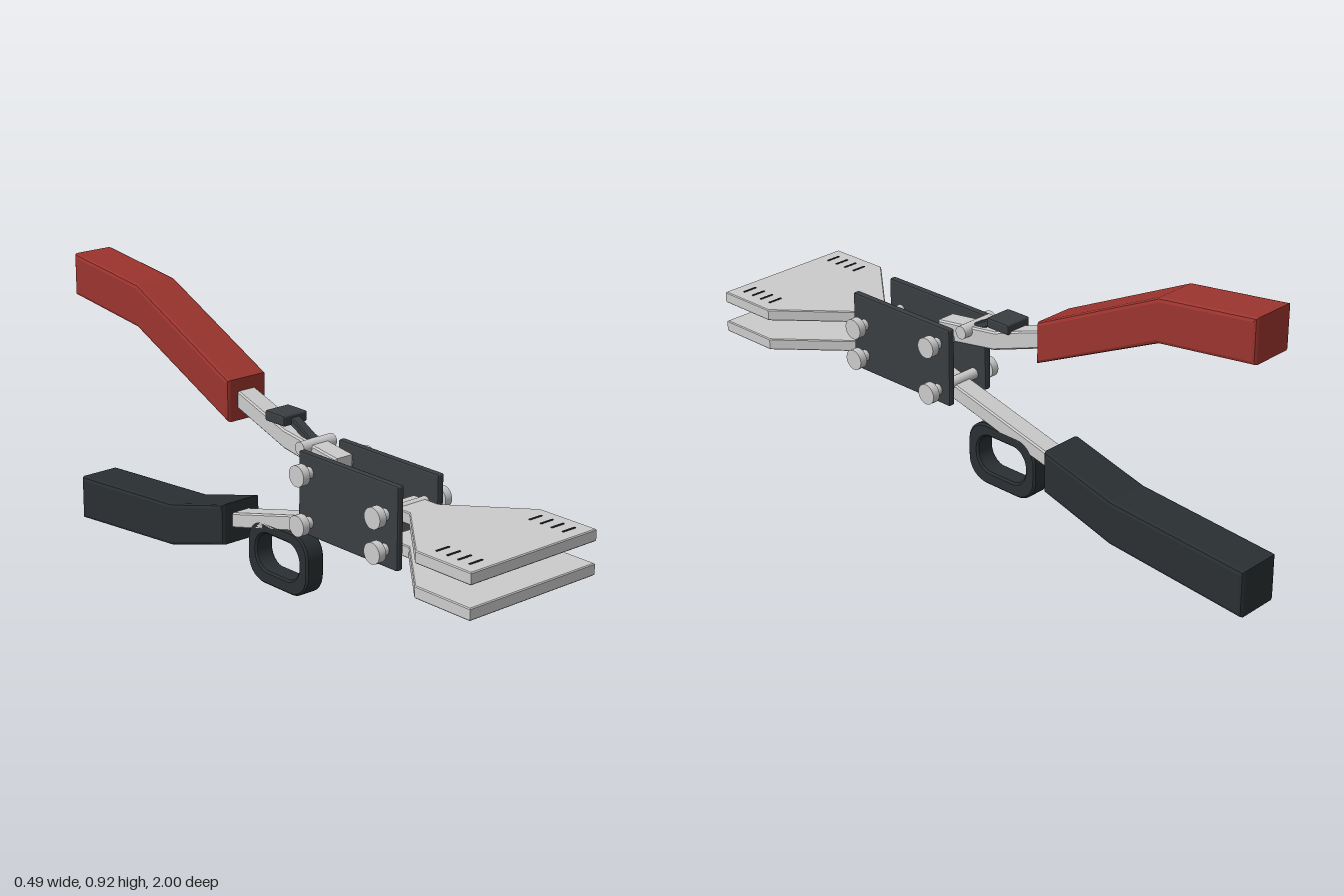
import * as THREE from 'three';

const mat = (color) => new THREE.MeshStandardMaterial({ color });
const steel = mat(0xcccccc), dark = mat(0x3a3e41), black = mat(0x2a2f32), red = mat(0x9c342e);

export function createModel() {
  const model = new THREE.Group();
  const add = (name, geo, material, x = 0, y = 0, z = 0) => {
    const mesh = new THREE.Mesh(geo, material);
    mesh.name = name;
    mesh.position.set(x, y, z);
    model.add(mesh);
    return mesh;
  };
  const shapeOf = (pts) => new THREE.Shape(pts.map(([a, b]) => new THREE.Vector2(a, b)));

  // Extrusion of given full thickness, centred, outline kept despite the bevel
  const slab = (shape, thick, bevel, segs = 1) => {
    const geo = new THREE.ExtrudeGeometry(shape, {
      depth: thick - 2 * bevel, bevelEnabled: true, bevelThickness: bevel, bevelSize: bevel,
      bevelOffset: -bevel, bevelSegments: segs, curveSegments: 6,
    });
    return geo.translate(0, 0, bevel - thick / 2);
  };
  // Side profile given as [z, y], spread across x
  const side = (shape, width, bevel, segs) => slab(shape, width, bevel, segs).rotateY(-Math.PI / 2);
  const roundRect = (cx, cy, w, h, r, Type = THREE.Shape) => {
    const s = new Type(), x = w / 2 - r, y = h / 2 - r;
    s.absarc(cx + x, cy + y, r, 0, Math.PI / 2);
    s.absarc(cx - x, cy + y, r, Math.PI / 2, Math.PI);
    s.absarc(cx - x, cy - y, r, Math.PI, Math.PI * 1.5);
    s.absarc(cx + x, cy - y, r, Math.PI * 1.5, Math.PI * 2);
    s.closePath();
    return s;
  };

  // Jaws: wide paddles on a narrow neck
  const half = [[0.057, 0.47], [0.057, 0.57], [0.247, 0.79], [0.247, 1]];
  const jaw = shapeOf([...half, ...half.map(([x, z]) => [-x, z]).reverse()]);
  const jawGeo = slab(jaw, 0.037, 0.003).rotateX(Math.PI / 2);
  add('upperJaw', jawGeo, steel, 0, 0.438, 0);
  add('lowerJaw', jawGeo, steel, 0, 0.336, 0);

  // Scale marks on the upper jaw
  const markGeo = new THREE.BoxGeometry(0.05, 0.004, 0.006);
  for (const s of [-1, 1])
    for (const z of [0.83, 0.872, 0.913, 0.955]) add('jawMark', markGeo, black, s * 0.183, 0.457, z);

  // Side plates
  const plateGeo = side(roundRect(0.345, 0.41, 0.425, 0.257, 0.006), 0.024, 0.006, 2);
  for (const s of [-1, 1]) add(s > 0 ? 'leftPlate' : 'rightPlate', plateGeo, dark, s * 0.079, 0, 0);

  // Pivot pins with a head on each end
  const shaftGeo = new THREE.CylinderGeometry(0.018, 0.018, 0.24, 20).rotateZ(Math.PI / 2);
  const headGeo = new THREE.CylinderGeometry(0.033, 0.033, 0.026, 24).rotateZ(Math.PI / 2);
  for (const [z, y] of [[0.507, 0.443], [0.507, 0.337], [0.182, 0.482], [0.182, 0.326]]) {
    add('pivotPin', shaftGeo, steel, 0, y, z);
    for (const s of [-1, 1]) add('pinHead', headGeo, steel, s * 0.13, y, z);
  }

  // Lever bars running into the grips
  add('upperLever', side(shapeOf([[0.235, 0.46], [0.235, 0.525], [0.0, 0.557], [-0.4, 0.69],
    [-0.4, 0.635], [0.0, 0.497]]), 0.07, 0.005), steel);
  add('lowerLever', side(shapeOf([[0.235, 0.29], [0.235, 0.343], [-0.35, 0.195], [-0.35, 0.145]]),
    0.07, 0.005), steel);

  // Grips
  add('upperGrip', side(shapeOf([[-0.213, 0.535], [-0.213, 0.668], [-0.665, 0.882], [-1, 0.923],
    [-1, 0.785], [-0.665, 0.743]]), 0.154, 0.012, 2), red);
  add('lowerGrip', side(shapeOf([[-0.246, 0.122], [-0.246, 0.257], [-0.51, 0.187], [-1, 0.15],
    [-1, 0.002], [-0.51, 0.045]]), 0.154, 0.012, 2), black);

  // Finger ring below the lower lever
  const ring = roundRect(-0.032, 0.133, 0.28, 0.206, 0.075);
  ring.holes.push(roundRect(-0.032, 0.136, 0.2, 0.122, 0.055, THREE.Path));
  add('fingerRing', side(ring, 0.07, 0.006), black);

  // Thumb latch: cross pin, slim arm and pad
  add('latchPin', new THREE.CylinderGeometry(0.021, 0.021, 0.13, 20).rotateZ(Math.PI / 2), steel, 0, 0.531, 0.108);
  add('latchArm', side(shapeOf([[0.108, 0.522], [0.108, 0.545], [0.015, 0.595], [-0.03, 0.595],
    [-0.03, 0.574], [0.01, 0.57]]), 0.036, 0.004), dark);
  add('latchPad', side(roundRect(-0.028, 0.588, 0.088, 0.034, 0.006), 0.094, 0.006, 2), dark);

  return model;
}
